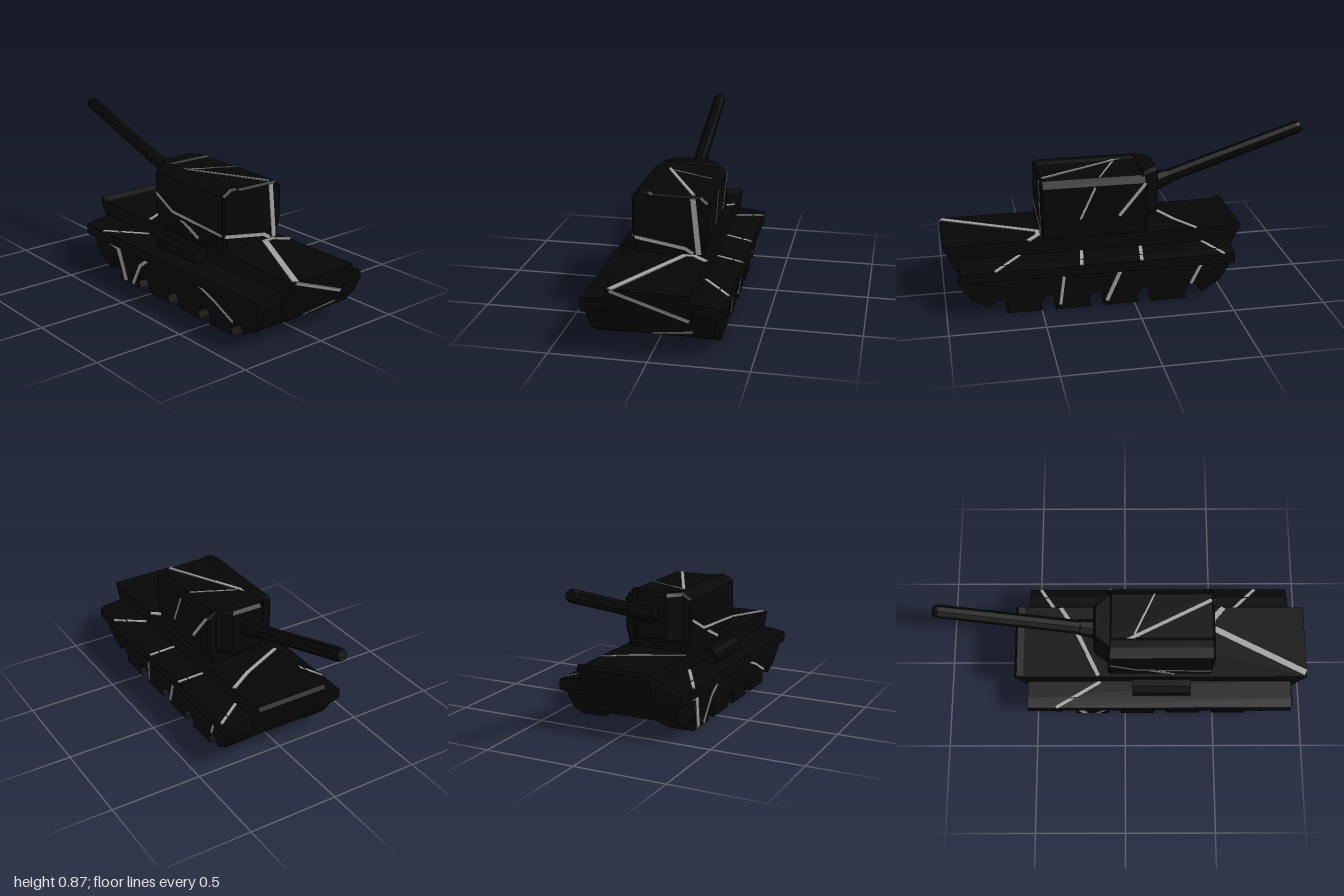
import * as THREE from 'three';

const dark = new THREE.MeshStandardMaterial({ color: 0x060606, flatShading: true });
const pale = new THREE.MeshStandardMaterial({ color: 0xa0a0a0, flatShading: true });

const shapeOf = (pts) => new THREE.Shape(pts.map(([a, b]) => new THREE.Vector2(a, b)));

// Extrude an [x, y] outline along z
function alongZ(pts, z0, z1) {
  const g = new THREE.ExtrudeGeometry(shapeOf(pts), { depth: z1 - z0, bevelEnabled: false });
  return g.translate(0, 0, z0);
}

// Extrude a [z, y] section along x, with optionally cut corners at both ends
function alongX(pts, x0, x1, bevel = 0) {
  const g = new THREE.ExtrudeGeometry(shapeOf(pts.map(([z, y]) => [-z, y])), {
    depth: x1 - x0 - 2 * bevel, bevelEnabled: bevel > 0, bevelSegments: 1,
    bevelSize: bevel, bevelThickness: bevel, bevelOffset: -bevel,
  });
  return g.translate(0, 0, x0 + bevel).rotateY(Math.PI / 2);
}

// Cylinder between two points
function rod(a, b, ra, rb, sides) {
  const p = new THREE.Vector3(...a), q = new THREE.Vector3(...b);
  const d = q.clone().sub(p);
  const g = new THREE.CylinderGeometry(rb, ra, d.length(), sides);
  g.rotateY(Math.PI / sides);
  g.applyQuaternion(new THREE.Quaternion().setFromUnitVectors(new THREE.Vector3(0, 1, 0), d.normalize()));
  const m = p.add(q).multiplyScalar(0.5);
  return g.translate(m.x, m.y, m.z);
}

export function createModel() {
  const model = new THREE.Group();
  const add = (name, geometry, material = dark, parent = model) => {
    const mesh = new THREE.Mesh(geometry, material);
    mesh.name = name;
    parent.add(mesh);
    return mesh;
  };

  // Hull tub with a raised lip at the gun end
  const hull = alongZ([
    [-0.61, 0.36], [-0.5, 0.15], [-0.45, 0.087], [0.86, 0.087], [0.92, 0.17],
    [1.0, 0.36], [-0.56, 0.364], [-0.597, 0.383],
  ], -0.205, 0.205);
  add('hull', hull);

  // Track blocks: sloped ends and notches between the wheels, leaning outward with height
  const outline = [[0.86, 0.09], [0.92, 0.17], [0.935, 0.22], [-0.53, 0.22], [-0.5, 0.15], [-0.46, 0.09], [-0.38, 0.035], [-0.365, 0.035]];
  const notch = [[-0.035, 0], [-0.048, 0.04], [-0.025, 0.083], [0.025, 0.083], [0.048, 0.04], [0.035, 0]];
  [-0.32, -0.06, 0.2, 0.46, 0.72].forEach((c, i) => {
    notch.forEach(([x, y]) => {
      if ((i === 0 && x < -0.03) || (i === 4 && x > 0.03)) return;
      outline.push([c + x, y]);
    });
  });
  outline.push([0.77, 0.04]);
  const track = alongZ(outline, 0, 1);
  const p = track.attributes.position;
  for (let i = 0; i < p.count; i++) {
    const y = p.getY(i);
    p.setZ(i, p.getZ(i) > 0.5 ? 0.305 + 0.075 * y : Math.max(0.17, 0.22 - 0.45 * y));
  }
  track.computeVertexNormals();

  // Fender above each track
  const fender = alongX([[0.19, 0.287], [0.19, 0.2], [0.318, 0.2], [0.353, 0.21], [0.353, 0.264], [0.3, 0.276]], -0.54, 0.92);
  for (const side of [1, -1]) {
    const group = new THREE.Group();
    group.name = side > 0 ? 'frontTrackSide' : 'backTrackSide';
    group.scale.z = side;
    add('track', track, dark, group);
    add('fender', fender, dark, group);
    model.add(group);
  }

  // Rounded drum lying on the fender
  add('fenderDrum', rod([0.04, 0.31, 0.24], [0.36, 0.31, 0.24], 0.053, 0.053, 8));

  // Turret with cut roof edges and a tucked-in foot
  add('turret', alongX([
    [0.185, 0.34], [0.185, 0.4], [0.2, 0.45], [0.2, 0.655], [0.15, 0.687], [0.11, 0.687], [0.09, 0.678],
    [-0.16, 0.674], [-0.2, 0.64], [-0.2, 0.46], [-0.18, 0.39], [-0.18, 0.34],
  ], -0.095, 0.478, 0.012));

  // Gun mantlet, narrowing toward the barrel
  const mantlet = new THREE.ExtrudeGeometry(
    shapeOf([[-0.07, -0.17], [-0.07, 0.17], [-0.17, 0.09], [-0.17, -0.09]].reverse()),
    { depth: 0.23, bevelEnabled: true, bevelSegments: 1, bevelSize: 0.015, bevelThickness: 0.02, bevelOffset: -0.015 });
  mantlet.rotateX(-Math.PI / 2).translate(0, 0.44, 0);
  add('mantlet', mantlet);

  // Barrel, raised, with a collar at its root and a chamfered muzzle
  add('barrel', rod([-0.12, 0.555, 0], [-0.97, 0.834, 0], 0.038, 0.035, 8));
  add('muzzle', rod([-0.97, 0.834, 0], [-0.99, 0.841, 0], 0.035, 0.028, 8));
  add('barrelCollar', rod([-0.14, 0.56, 0], [-0.25, 0.6, 0], 0.055, 0.042, 8));

  // Pale jagged bands laid on the faces: points, face normal, width
  const bands = new THREE.Group();
  bands.name = 'paleBands';
  model.add(bands);
  function band(pts, normal, width) {
    const n = new THREE.Vector3(...normal).normalize();
    for (let i = 0; i + 1 < pts.length; i++) {
      const a = new THREE.Vector3(...pts[i]), b = new THREE.Vector3(...pts[i + 1]);
      const d = b.clone().sub(a), length = d.length();
      d.normalize();
      const across = n.clone().cross(d).normalize();
      const up = d.clone().cross(across);
      const g = new THREE.BoxGeometry(length + width * 0.3, width, 0.006);
      g.applyMatrix4(new THREE.Matrix4().makeBasis(d, across, up).setPosition(a.add(b).multiplyScalar(0.5)));
      add('band', g, pale, bands);
    }
  }
  const onZ = (z, pts, width = 0.018) => band(pts.map(([x, y]) => [x, y, z]), [0, 0, Math.sign(z)], width);
  const onY = (y, pts, width = 0.018) => band(pts.map(([x, z]) => [x, y, z]), [0, 1, 0], width);

  // Turret sides, roof and rear
  onZ(0.2, [[-0.08, 0.54], [0.06, 0.47], [0.465, 0.445]], 0.015);
  onZ(0.193, [[0.06, 0.47], [0.27, 0.375]]);
  onZ(-0.2, [[-0.08, 0.64], [0.06, 0.47]]);
  onZ(-0.2, [[0.19, 0.635], [0.27, 0.464]], 0.012);
  onY(0.678, [[0.46, -0.12], [-0.08, 0.15]], 0.02);
  onY(0.675, [[0.16, -0.16], [0.05, 0.07]], 0.01);
  band([[0.478, 0.66, -0.12], [0.478, 0.37, -0.15]], [1, 0, 0], 0.028);
  band([[0.478, 0.44, 0.185], [0.478, 0.395, -0.08], [0.478, 0.37, -0.12]], [1, 0, 0], 0.018);

  // Deck and fenders
  onY(0.3615, [[0.49, -0.08], [0.99, 0.18]], 0.035);
  onY(0.362, [[0.49, -0.08], [0.49, -0.13], [0.55, -0.2]], 0.03);
  onY(0.363, [[-0.36, -0.2], [-0.27, -0.06], [-0.15, 0.195]], 0.022);
  for (const [x0, x1, z] of [[-0.39, -0.48, -1], [-0.05, -0.03, -1], [0.27, 0.29, -1], [0.6, 0.74, -1], [-0.14, -0.38, 1]]) {
    band([[x0, 0.285, 0.21 * z], [x1, 0.266, 0.35 * z]], [0, 1, 0.14 * z], 0.018);
  }

  // Track sides
  onZ(0.319, [[-0.36, 0.2], [-0.28, 0.19]], 0.03);
  band([[-0.28, 0.19, 0.32], [-0.23, 0.01, 0.307]], [0, 0, 1], 0.035);
  band([[0.0, 0.2, 0.321], [-0.08, 0.14, 0.317], [-0.16, 0.01, 0.307]], [0, 0, 1], 0.02);
  band([[0.42, 0.2, 0.321], [0.55, 0.15, 0.317], [0.69, 0.08, 0.312]], [0, 0, 1], 0.015);
  band([[0.08, 0.2, -0.321], [0.15, 0.03, -0.308]], [0, 0, -1], 0.022);
  band([[0.38, 0.2, -0.321], [0.4, 0.03, -0.308]], [0, 0, -1], 0.016);
  band([[-0.36, 0.2, -0.321], [-0.31, 0.09, -0.312]], [0, 0, -1], 0.018);

  // Sloped rear plate and belly
  band([[1.0, 0.355, 0.18], [0.935, 0.2, -0.19]], [0.92, -0.39, 0], 0.02);
  band([[0.865, 0.095, 0], [0.89, 0.125, -0.2]], [0.8, -0.6, 0], 0.012);
  band([[-0.2, 0.087, 0.17], [0.3, 0.087, -0.17]], [0, -1, 0], 0.02);
  return model;
}
